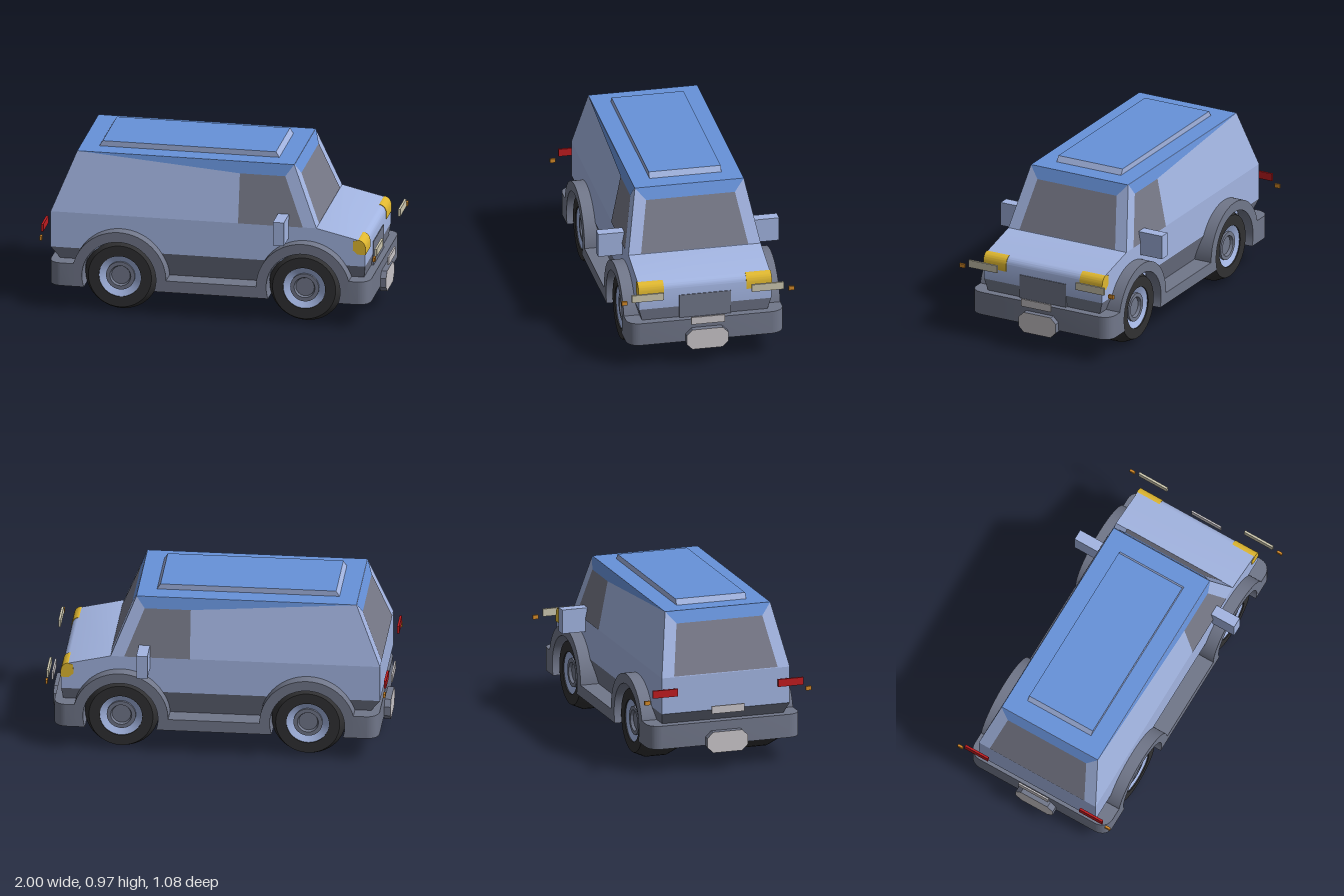
import * as THREE from 'three';
import { toCreasedNormals } from 'three/addons/utils/BufferGeometryUtils.js';

const material = (name, color) => {
  const m = new THREE.MeshStandardMaterial({ color });
  m.name = name;
  return m;
};

export function createModel() {
  const model = new THREE.Group();
  model.name = 'van';
  const paint = material('light blue paint', 0xa3b5e2);
  const roofBlue = material('roof blue', 0x6792da);
  const trim = material('grey trim', 0x71778a);
  const glass = material('window grey', 0x777988);
  const rubber = material('tyre black', 0x303032);
  const yellow = material('headlight yellow', 0xe0b830);
  const lens = material('pale lens', 0xcdc8b0);
  const plate = material('plate grey', 0xcac6ca);
  const red = material('tail light red', 0xc01c20);
  const orange = material('indicator orange', 0xd58a28);

  const add = (name, geo, mat, parent = model) => {
    const mesh = new THREE.Mesh(geo, mat);
    mesh.name = name;
    parent.add(mesh);
    return mesh;
  };
  // Box given by its limits
  const box = (name, mat, x0, x1, y0, y1, z0, z1) =>
    add(name, new THREE.BoxGeometry(x1 - x0, y1 - y0, z1 - z0)
      .translate((x0 + x1) / 2, (y0 + y1) / 2, (z0 + z1) / 2), mat);
  // Box with different bottom and top rectangles, each [y, x0, x1, half width]
  const frustum = (name, mat, bottom, top) => {
    const geo = new THREE.BoxGeometry(1, 1, 1);
    const p = geo.attributes.position;
    for (let i = 0; i < p.count; i++) {
      const [y, x0, x1, w] = p.getY(i) > 0 ? top : bottom;
      p.setXYZ(i, p.getX(i) > 0 ? x1 : x0, y, p.getZ(i) > 0 ? w : -w);
    }
    geo.computeVertexNormals();
    return add(name, geo, mat);
  };
  // Flat convex panel laid just outside the cabin, turned to face outward
  const panel = (name, mat, points) => {
    let v = points.map((p) => new THREE.Vector3(...p));
    const n = v[1].clone().sub(v[0]).cross(v[2].clone().sub(v[0])).normalize();
    if (n.dot(v[0].clone().sub(new THREE.Vector3(0, 0.6, 0))) < 0) {
      v.reverse();
      n.negate();
    }
    v = v.map((p) => p.addScaledVector(n, 0.003));
    const tris = [];
    for (let i = 1; i < v.length - 1; i++) tris.push(v[0], v[i], v[i + 1]);
    const geo = new THREE.BufferGeometry().setFromPoints(tris);
    geo.computeVertexNormals();
    return add(name, geo, mat);
  };
  const extrude = (shape, depth) =>
    new THREE.ExtrudeGeometry(shape, { depth, bevelEnabled: false, curveSegments: 20 });

  // Body with hood and rounded nose
  const side = new THREE.Shape();
  side.moveTo(-0.955, 0.362);
  side.lineTo(0.915, 0.362);
  side.lineTo(0.915, 0.475);
  side.quadraticCurveTo(0.91, 0.514, 0.875, 0.522);
  side.lineTo(0.625, 0.58);
  side.lineTo(-0.955, 0.58);
  add('body', toCreasedNormals(extrude(side, 0.79).translate(0, 0, -0.395), 0.5), paint);
  frustum('skirt', trim, [0.22, -0.85, 0.895, 0.355], [0.362, -0.955, 0.915, 0.395]);
  box('grille', trim, 0.89, 0.919, 0.28, 0.435, -0.155, 0.155);
  box('floor', trim, -0.81, 0.81, 0.15, 0.24, -0.34, 0.34);

  // Cabin and roof
  frustum('cabin', [paint, paint, roofBlue, paint, paint, paint],
    [0.58, -0.955, 0.625, 0.395], [0.94, -0.81, 0.48, 0.325]);
  frustum('roofPanel', [paint, paint, roofBlue, paint, paint, paint],
    [0.94, -0.7, 0.37, 0.215], [0.973, -0.68, 0.35, 0.215]);

  // Cabin windows and roof bands
  const rise = (y) => (y - 0.58) / 0.36;
  const ends = {
    front: (y, z) => [0.625 - 0.145 * rise(y), y, z],
    rear: (y, z) => [-0.955 + 0.145 * rise(y), y, z],
  };
  for (const [end, at] of Object.entries(ends)) {
    panel(end + 'Window', glass, [at(0.583, -0.32), at(0.583, 0.32), at(0.87, 0.265), at(0.87, -0.265)]);
    panel(end + 'RoofBand', roofBlue, [at(0.87, -0.265), at(0.87, 0.265), at(0.94, 0.325), at(0.94, -0.325)]);
  }
  for (const s of [1, -1]) {
    const at = (x, y) => [x, y, s * (0.395 - 0.07 * rise(y))];
    panel('sideWindow', glass, [at(0.16, 0.58), at(0.545, 0.58), at(0.43, 0.87), at(0.16, 0.87)]);
    panel('sideRoofBand', roofBlue, [at(-0.81, 0.94), at(0.16, 0.87), at(0.43, 0.87), at(0.48, 0.94)]);
  }

  // Wheel arches joined by the sill
  const arch = new THREE.Shape();
  const wheelX = [-0.535, 0.56];
  arch.moveTo(-0.8, 0.15);
  for (const x of wheelX) {
    arch.lineTo(x - 0.2086, 0.15);
    arch.absarc(x, 0.22, 0.22, Math.PI + 0.324, -0.324, true);
  }
  arch.lineTo(0.8, 0.15);
  arch.absarc(0.56, 0.22, 0.28, 0.253, Math.PI, false);
  arch.absarc(-0.535, 0.22, 0.28, 0, Math.PI - 0.253, false);
  for (const z of [0.33, -0.467])
    add('wheelArches', toCreasedNormals(extrude(arch, 0.137).translate(0, 0, z), 0.5), trim);

  // Bumpers with rounded outer corners
  for (const s of [1, -1]) {
    const b = new THREE.Shape();
    b.moveTo(0.79 * s, -0.467);
    b.lineTo(0.885 * s, -0.467);
    b.quadraticCurveTo(0.945 * s, -0.46, 0.953 * s, -0.395);
    b.lineTo(0.953 * s, 0.395);
    b.quadraticCurveTo(0.945 * s, 0.46, 0.885 * s, 0.467);
    b.lineTo(0.79 * s, 0.467);
    const geo = extrude(b, 0.14).rotateX(-Math.PI / 2).translate(0, 0.15, 0);
    add(s > 0 ? 'frontBumper' : 'rearBumper', toCreasedNormals(geo, 0.5), trim);

    // Eight-sided bumper plate
    const o = new THREE.Shape([
      [-0.125, 0.145], [-0.09, 0.11], [0.09, 0.11], [0.125, 0.145],
      [0.125, 0.2], [0.09, 0.235], [-0.09, 0.235], [-0.125, 0.2],
    ].map((p) => new THREE.Vector2(...p)));
    add('bumperPlate', extrude(o, 0.04).rotateY(Math.PI / 2).translate(s > 0 ? 0.947 : -0.99, 0, 0),
      [plate, trim]);
  }
  box('frontNumberPlate', plate, 0.99, 1, 0.277, 0.322, -0.1, 0.1);
  box('rearNumberPlate', plate, -1, -0.99, 0.35, 0.395, -0.1, 0.1);

  // Headlight wrapping round the nose
  const lamp = new THREE.Shape();
  lamp.moveTo(0.842, 0.46);
  lamp.lineTo(0.87, 0.435);
  lamp.lineTo(0.918, 0.435);
  lamp.lineTo(0.918, 0.475);
  lamp.quadraticCurveTo(0.913, 0.517, 0.878, 0.524);
  lamp.lineTo(0.845, 0.515);

  // Wheel profiles as [radius, distance along the axle]
  const wheelParts = [
    ['tyre', rubber, [[0, -0.125], [0.188, -0.125], [0.217, -0.06], [0.217, 0.06], [0.188, 0.125], [0.125, 0.125], [0.125, 0.1]]],
    ['rim', paint, [[0.125, 0.118], [0.085, 0.098]]],
    ['hub', trim, [[0.085, 0.095], [0.085, 0.112], [0.062, 0.112], [0.055, 0.095], [0, 0.095]]],
  ];

  for (const s of [1, -1]) {
    const sideBox = (name, mat, x0, x1, y0, y1, z0, z1) =>
      box(name, mat, x0, x1, y0, y1, s > 0 ? z0 : -z1, s > 0 ? z1 : -z0);
    add('headlight', toCreasedNormals(extrude(lamp, 0.152).translate(0, 0, s > 0 ? 0.246 : -0.398), 0.5), yellow);
    sideBox('mirror', paint, 0.395, 0.46, 0.508, 0.652, 0.38, 0.54);
    sideBox('frontLens', lens, 0.983, 0.996, 0.45, 0.495, 0.262, 0.453);
    sideBox('tailLight', red, -0.998, -0.985, 0.475, 0.52, 0.31, 0.465);
    sideBox('frontIndicator', orange, 0.983, 0.996, 0.438, 0.462, 0.482, 0.515);
    sideBox('rearIndicator', orange, -0.998, -0.985, 0.438, 0.462, 0.482, 0.515);

    for (const x of wheelX) {
      const wheel = new THREE.Group();
      wheel.name = 'wheel';
      wheel.position.set(x, 0.218, s * 0.31);
      wheel.rotation.x = s * Math.PI / 2;
      for (const [name, mat, profile] of wheelParts) {
        const geo = new THREE.LatheGeometry(profile.map((p) => new THREE.Vector2(...p)), 40);
        add(name, toCreasedNormals(geo, 0.4), mat, wheel);
      }
      model.add(wheel);
    }
  }
  return model;
}
